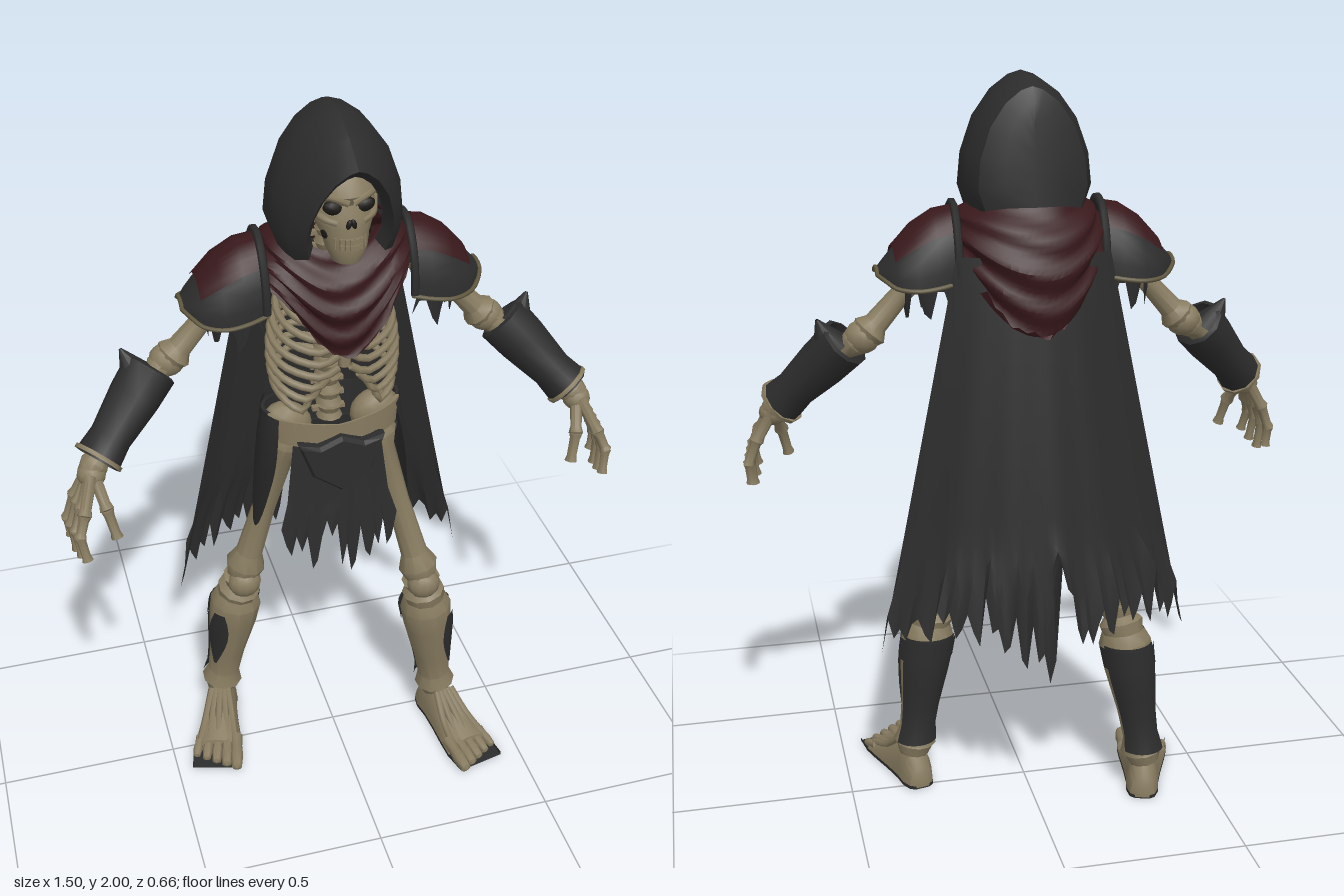
import * as THREE from 'three';
import { toCreasedNormals } from 'three/addons/utils/BufferGeometryUtils.js';

const paint = (name, color) => {
  const m = new THREE.MeshStandardMaterial({ color, side: THREE.DoubleSide });
  m.name = name;
  return m;
};
const V = (a) => new THREE.Vector3(...a);
const lerp = THREE.MathUtils.lerp;
const rand = (i) => { const s = Math.sin(i * 12.9898 + 4.1) * 43758.5453; return s - Math.floor(s); };
const range = (n, f) => Array.from({ length: n + 1 }, (_, i) => f(i / n, i));

export function createModel() {
  const bone = paint('bone', 0x877b60), cloth = paint('dark cloth', 0x2c2c2c);
  const red = paint('deep red cloth', 0x38181b), trim = paint('dull brass', 0x5f563d), hollow = paint('hollow black', 0x1c1a17);
  const model = new THREE.Group();
  model.name = 'hoodedSkeleton';

  const add = (name, geo, mat, parent = model) => {
    const mesh = new THREE.Mesh(geo, mat);
    mesh.name = name;
    parent.add(mesh);
    return mesh;
  };
  // Skin over a grid of rows of [x, y, z] points
  const surface = (name, mat, rows, parent) => {
    const n = rows[0].length, idx = [];
    for (let r = 0; r < rows.length - 1; r++) for (let c = 0; c < n - 1; c++) {
      const a = r * n + c, b = a + n;
      idx.push(a, a + 1, b, b, a + 1, b + 1);
    }
    const g = new THREE.BufferGeometry();
    g.setAttribute('position', new THREE.Float32BufferAttribute(rows.flat(2), 3));
    g.setIndex(idx);
    return add(name, toCreasedNormals(g, 0.6), mat, parent);
  };
  const ring = (y, cz, rx, rz, n = 20) => range(n, (t) => [rx * Math.sin(t * 2 * Math.PI), y, cz + rz * Math.cos(t * 2 * Math.PI)]);
  // Turned piece running from a to b, profile given as [position along, radius]
  const limb = (name, mat, a, b, profile, parent) => {
    const A = V(a), d = V(b).sub(A), L = d.length();
    const g = new THREE.LatheGeometry(profile.map(([t, r]) => new THREE.Vector2(r, t * L)), 10);
    const mesh = add(name, toCreasedNormals(g, 0.7), mat, parent);
    mesh.position.copy(A);
    mesh.quaternion.setFromUnitVectors(new THREE.Vector3(0, 1, 0), d.normalize());
    return mesh;
  };
  const tube = (name, mat, pts, r, parent, seg = 16) =>
    add(name, new THREE.TubeGeometry(new THREE.CatmullRomCurve3(pts.map(V)), seg, r, 6), mat, parent);
  const ball = (name, mat, p, s, parent) => {
    const m = add(name, new THREE.SphereGeometry(1, 12, 8), mat, parent);
    m.position.set(...p);
    m.scale.set(...s);
    return m;
  };
  const longBone = (r) => [[-0.05, 0], [-0.03, r * 1.2], [0.04, r * 1.5], [0.14, r], [0.5, r * 0.85], [0.86, r], [0.95, r * 1.5], [1.03, r * 1.2], [1.05, 0]];
  const fingerBone = (r) => [[-0.06, 0], [0, r * 1.15], [0.2, r * 0.9], [0.8, r * 0.85], [1, r * 1.1], [1.06, 0]];

  // Hood: arches from the pointed brow to the back of the head
  const archShape = [[0.88, 0], [1, 0.18], [0.95, 0.42], [0.76, 0.68], [0.48, 0.87], [0.2, 0.97], [0, 1]];
  const arch = [...archShape, ...archShape.slice(0, -1).reverse().map(([x, t]) => [-x, t])];
  const hoodArches = [ // half width, bottom y, top y, bottom z, top z
    [0.088, 1.68, 1.89, 0.1, 0.19], [0.108, 1.66, 1.915, 0.13, 0.22], [0.14, 1.65, 1.965, 0.1, 0.14], [0.167, 1.655, 1.998, 0.04, 0.04],
    [0.165, 1.66, 1.993, -0.05, -0.045], [0.14, 1.67, 1.97, -0.115, -0.1], [0.08, 1.68, 1.93, -0.145, -0.122], [0, 1.68, 1.88, -0.15, -0.13]];
  surface('hood', cloth, hoodArches.map(([w, yb, yt, zb, zt]) => arch.map(([x, t]) => [x * w, lerp(yb, yt, t), lerp(zb, zt, t)])));

  // Skull: y, half width, front z, back z
  const skull = [[1.645, 0, 0.14, 0.12], [1.65, 0.036, 0.16, 0.08], [1.685, 0.052, 0.172, 0.06], [1.72, 0.06, 0.167, 0.04], [1.745, 0.072, 0.167, 0.01],
    [1.77, 0.085, 0.162, -0.02], [1.8, 0.08, 0.152, -0.04], [1.825, 0.087, 0.167, -0.04], [1.87, 0.08, 0.147, -0.03], [1.905, 0.052, 0.11, 0], [1.92, 0, 0.06, 0.05]];
  surface('skull', bone, skull.map(([y, w, f, b]) => ring(y, (f + b) / 2, w, (f - b) / 2)));
  for (const s of [-1, 1]) {
    ball('eyeSocket', hollow, [s * 0.038, 1.794, 0.14], [0.027, 0.018, 0.015]).rotation.z = s * 0.25;
    tube('browRidge', bone, [[s * 0.006, 1.81, 0.16], [s * 0.04, 1.825, 0.153], [s * 0.072, 1.82, 0.115]], 0.009);
    tube('cheekBone', bone, [[s * 0.03, 1.758, 0.152], [s * 0.06, 1.766, 0.132], [s * 0.083, 1.78, 0.07]], 0.01);
    ball('noseHollow', hollow, [s * 0.006, 1.757, 0.163], [0.007, 0.013, 0.006]).rotation.z = s * 0.3;
    ball('jawHollow', hollow, [s * 0.053, 1.725, 0.117], [0.009, 0.018, 0.02]);
  }
  for (let i = -3; i <= 3; i++) for (const y of [1.714, 1.698])
    add('tooth', new THREE.BoxGeometry(0.0105, 0.014, 0.01), bone).position.set(i * 0.0115, y, 0.17 - i * i * 0.0022);

  // Spine, breastbone and ribs
  for (let i = 0; i < 15; i++) {
    const y = 1.1 + i * 0.04, z = -0.035 - 0.03 * Math.sin((i / 14) * Math.PI);
    limb('vertebra', bone, [0, y, z], [0, y + 0.036, z], [[0, 0], [0, 0.036], [0.5, 0.028], [1, 0.036], [1, 0]]);
    add('vertebraWing', new THREE.BoxGeometry(0.09, 0.012, 0.016), bone).position.set(0, y + 0.018, z - 0.012);
  }
  limb('breastbone', bone, [0, 1.33, 0.11], [0, 1.5, 0.09], [[0, 0], [0.05, 0.016], [0.7, 0.022], [1, 0.03], [1, 0]]);
  for (const s of [-1, 1]) for (let i = 0; i < 8; i++) {
    const y = 1.53 - i * 0.036, w = 0.12 + 0.045 * Math.sin((i + 1) / 8 * 2.2), low = Math.max(0, i - 4);
    tube('rib', bone, [[0, y, -0.075], [s * w * 0.6, y + 0.01, -0.1], [s * w, y - 0.025, -0.03], [s * w * 0.92, y - 0.055, 0.05],
      [s * (0.06 + low * 0.014), y - 0.075, 0.108 - low * 0.008], [s * (0.015 + low * 0.024), y - 0.05 + low * 0.006, 0.112 - low * 0.009]], 0.0105);
  }

  // Draped scarf with folds and a torn point at front and back
  surface('scarf', red, range(22, (v) => range(64, (t, i) => {
    const a = t * Math.PI * 2, c = Math.cos(a), k = i % 64, front = Math.max(c, 0);
    const drop = c > 0 ? 0.19 * c ** 4 : 0.21 * c * c;
    const torn = v > 0.97 ? (c < 0 ? 0.05 : 0.015) * rand(k) : 0;
    const grow = Math.sin(Math.min(1, v * 1.8) * Math.PI / 2), fold = 0.007 * Math.cos(v * 24 + Math.sin(a * 3));
    const rx = 0.125 + 0.075 * grow + fold, rz = 0.1 + (c > 0 ? 0.075 : 0.105) * grow + fold - (c > 0 ? 0.02 * v : 0);
    return [rx * Math.sin(a), lerp(1.7 - 0.05 * front * front, 1.56 - drop, v) + torn, -0.015 + rz * c];
  })));

  // Long torn cape: tatters only bend the lower part
  const tatter = [0, 0.03, 0.13, 0.06, 0.015, 0.09, 0.05, 0.15];
  const hem = range(56, (t, i) => {
    const u = t * 2 - 1, w = Math.abs(u);
    const slit = Math.abs(u + 0.11) < 0.04 ? 0.2 : 0;
    return 0.455 + 0.09 * Math.sin(w * Math.PI) + 0.05 * w + slit + (w < 0.02 || w > 0.98 ? 0 : tatter[i % 8] * (0.5 + 0.6 * rand(i)));
  });
  surface('cape', cloth, range(16, (v) => range(56, (t, i) => {
    const u = t * 2 - 1, bow = 1 - u * u;
    const y = lerp(1.56, 0.5, v) + (hem[i] - 0.5) * Math.max(0, (v - 0.7) / 0.3);
    return [u * lerp(0.2, 0.42, v), y, -0.125 - 0.02 * v - bow * (0.05 + 0.13 * v) + 0.004 * v * Math.sin(u * 17)];
  })));

  // Pelvis, belt and waist cloths
  const band = (name, mat, from, to, rx, y0, y1) => surface(name, mat, [[y0, 0.95], [y0, 1], [y1, 1], [y1, 0.95]].map(([y, k]) =>
    range(20, (t) => { const a = lerp(from, to, t); return [rx * k * Math.sin(a), y + 0.02 * Math.abs(Math.sin(a)), -0.025 + 0.1 * k * Math.cos(a)]; })));
  band('pelvisFront', bone, -1.3, 1.3, 0.185, 1.06, 1.13);
  band('beltBack', cloth, 1.25, 5.03, 0.19, 1.03, 1.14);
  band('beltStrap', bone, -1.3, 1.3, 0.192, 1.1, 1.135);
  add('beltPouch', new THREE.ExtrudeGeometry(new THREE.Shape([[-0.11, 1.09], [-0.06, 1.075], [0, 1.1], [0.06, 1.075], [0.11, 1.09], [0.075, 1], [0, 0.945], [-0.075, 1]]
    .map((p) => new THREE.Vector2(...p))), { depth: 0.02, bevelSize: 0.008, bevelThickness: 0.012, bevelSegments: 1 }), cloth).position.z = 0.07;
  const tabardHem = range(24, (t, i) => 0.64 + 0.08 * Math.abs(t * 2 - 1) + tatter[(i + 2) % 8] * (0.5 + 0.6 * rand(i)) + (i > 8 && i < 12 ? 0.12 : 0));
  surface('tabard', cloth, range(10, (v) => range(24, (t, i) => {
    const u = t * 2 - 1;
    const y = lerp(1.08, 0.7, v) + (tabardHem[i] - 0.7) * Math.max(0, (v - 0.5) / 0.5);
    return [u * lerp(0.12, 0.165, v), y, 0.07 + 0.025 * v - 0.03 * u * u + 0.004 * v * Math.cos(u * 12)];
  })));
  for (const s of [-1, 1]) {
    surface('hipCloth', cloth, range(8, (v) => range(10, (t) => {
      const u = t * 2 - 1;
      return [s * (0.19 + 0.03 * v - 0.03 * u * u), lerp(1.16, 0.78 + 0.18 * u * u, v), -0.025 + u * (0.075 + 0.03 * Math.sin(v * 2.6))];
    })));
    ball('hipBone', bone, [s * 0.12, 1.11, -0.02], [0.07, 0.055, 0.045]).rotation.z = s * 0.5;
  }

  // Shoulder plates, arms and hands
  const plate = [[0.185, 1.67, 0.095, 0.18], [0.24, 1.66, 0.108, 0.18], [0.295, 1.625, 0.11, 0.15], [0.345, 1.57, 0.09, 0.09], [0.37, 1.54, 0.065, 0.045], [0.388, 1.52, 0.03, 0.015]];
  const archRow = (s, [x, y, hz, drop], half, lift) => range(14, (t) => {
    const a = lerp(-half, half, t);
    return [s * (x + lift * 0.6), y + lift - drop * (1 - Math.cos(a)), -0.02 + (hz + lift) * Math.sin(a)];
  });
  for (const s of [-1, 1]) {
    const arm = new THREE.Group();
    arm.name = s > 0 ? 'leftArm' : 'rightArm';
    model.add(arm);
    const P = (x, y, z) => [s * x, y, z];
    surface('shoulderPlate', cloth, plate.map((p) => archRow(s, p, Math.PI / 2, 0)), arm);
    surface('shoulderPanel', red, plate.slice(0, 4).map((p) => archRow(s, p, 0.85, 0.006)), arm);
    tube('innerRim', cloth, archRow(s, plate[0], Math.PI / 2, 0.01), 0.011, arm, 24);
    tube('outerRim', trim, archRow(s, plate[5], Math.PI / 2, 0.002), 0.006, arm, 12);
    for (const e of [0, 14]) tube('lowerRim', trim, plate.map((p) => archRow(s, p, Math.PI / 2, 0.003)[e]), 0.006, arm);
    surface('tornSleeve', cloth, range(3, (v) => range(20, (t, i) => {
      const a = lerp(-2, 2, t), len = i % 4 > 1 ? 0.05 : 0.09 + 0.05 * rand(i);
      return P(0.25 + 0.09 * Math.cos(a) - 0.02 * v, 1.52 - len * v, -0.02 + 0.09 * Math.sin(a));
    })), arm);
    limb('upperArm', bone, P(0.24, 1.55, -0.03), P(0.42, 1.35, -0.03), longBone(0.032), arm);
    ball('elbow', bone, P(0.43, 1.345, -0.03), [0.048, 0.044, 0.044], arm);
    limb('forearm', bone, P(0.44, 1.34, -0.03), P(0.66, 1.13, 0.09), longBone(0.026), arm);
    limb('bracer', cloth, P(0.475, 1.33, -0.02), P(0.64, 1.15, 0.08), [[-0.02, 0.06], [0, 0.071], [0.3, 0.068], [0.75, 0.055], [1, 0.062], [1, 0.052]], arm);
    limb('bracerTip', cloth, P(0.51, 1.32, -0.01), P(0.545, 1.395, -0.03), [[0, 0.05], [1, 0.004]], arm);
    limb('bracerTrim', bone, P(0.633, 1.157, 0.075), P(0.64, 1.15, 0.08), [[0, 0.05], [0, 0.066], [1, 0.066], [1, 0.05]], arm);
    ball('wrist', bone, P(0.66, 1.12, 0.095), [0.038, 0.034, 0.04], arm);
    for (let i = 0; i < 4; i++) {
      const joints = [P(0.665, 1.125, 0.075 + i * 0.014), P(0.708 - i * 0.004, 1.05, 0.075 + i * 0.034),
        P(0.732 - i * 0.006, 0.985 + i * 0.006, 0.078 + i * 0.04), P(0.727 - i * 0.008, 0.91 + Math.abs(i - 1.2) * 0.017, 0.08 + i * 0.045)];
      for (let j = 0; j < 3; j++) limb('fingerBone', bone, joints[j], joints[j + 1], fingerBone(0.0175 - j * 0.002), arm);
    }
    limb('thumbBase', bone, P(0.655, 1.12, 0.11), P(0.637, 1.05, 0.165), fingerBone(0.018), arm);
    limb('thumbTip', bone, P(0.637, 1.05, 0.165), P(0.62, 0.975, 0.185), fingerBone(0.015), arm);
  }

  // Legs in a staggered stance
  const footCuts = [[-0.065, 0.02, 0.03], [-0.055, 0.035, 0.06], [-0.025, 0.045, 0.11], [0.02, 0.046, 0.125], [0.08, 0.054, 0.09], [0.15, 0.066, 0.06], [0.2, 0.073, 0.04], [0.205, 0.06, 0.01]];
  for (const [s, hipZ, kneeZ, shinZ, ankleZ, turn] of [[1, -0.01, 0.06, 0.06, 0.04, 0.22], [-1, -0.03, -0.085, -0.11, -0.15, -0.28]]) {
    const leg = new THREE.Group();
    leg.name = s > 0 ? 'leftLeg' : 'rightLeg';
    model.add(leg);
    const P = (x, y, z) => [s * x, y, z];
    const top = P(0.262, 0.47, shinZ), ankle = P(0.315, 0.1, ankleZ);
    limb('thighBone', bone, P(0.12, 1.06, hipZ), P(0.243, 0.58, kneeZ), longBone(0.038), leg);
    ball('kneeCap', bone, P(0.247, 0.55, kneeZ + 0.025), [0.048, 0.045, 0.04], leg);
    limb('kneeJoint', bone, P(0.245, 0.56, kneeZ), top, [[0, 0.03], [0.1, 0.056], [0.4, 0.044], [0.6, 0.062], [1, 0.055]], leg);
    limb('shinBone', bone, top, ankle, longBone(0.035), leg);
    const guard = [[-0.04, 0.06], [0.05, 0.074], [0.25, 0.07], [0.6, 0.052], [0.82, 0.047], [0.93, 0.06]];
    limb('shinGuard', bone, top, ankle, guard, leg);
    // Dark panel following the shin guard, centred on one side
    const facing = (name, side, half, t0, t1, tapered) => {
      const d = V(ankle).sub(V(top));
      surface(name, cloth, range(6, (v) => range(8, (t) => {
        const k = lerp(t0, t1, v), taper = tapered ? Math.sin(Math.PI * (0.15 + 0.8 * v)) : 1;
        const a = side + lerp(-half, half, t) * taper;
        const j = Math.max(0, guard.findIndex(([g]) => g >= k) - 1);
        const r = lerp(guard[j][1], guard[j + 1][1], (k - guard[j][0]) / (guard[j + 1][0] - guard[j][0])) + 0.006;
        return [top[0] + d.x * k + r * Math.sin(a), top[1] + d.y * k, top[2] + d.z * k + r * Math.cos(a)];
      })), leg);
    };
    facing('calfGuard', Math.PI, 1.1, 0.03, 0.9, false);
    facing('calfStrap', Math.PI, 1.35, 0.05, 0.22, false);
    facing('sidePanel', s * 0.85, 0.5, 0.08, 0.66, true);

    const foot = new THREE.Group();
    foot.name = 'foot';
    foot.position.set(ankle[0], 0, ankle[2]);
    foot.rotation.y = turn;
    leg.add(foot);
    const cut = ([z, w, h]) => [...range(10, (t) => [w * Math.cos(t * Math.PI), 0.006 + h * Math.sin(t * Math.PI), z]), [w, 0.006, z]];
    surface('footBody', bone, [cut([-0.066, 0, 0]), ...footCuts.map(cut), cut([0.206, 0, 0])], foot);
    surface('sole', cloth, [...footCuts.slice(0, 7), [0.27, 0.07]].map(([z, w]) => [[-w, 0.012, z], [-w, 0.002, z], [w, 0.002, z], [w, 0.012, z]]), foot);
    for (let i = 0; i < 5; i++) {
      const x = s * (i - 2), r = 0.019 - i * 0.0015;
      limb('toe', bone, [x * 0.027, 0.032, 0.17], [x * 0.031, r, 0.288 - i * 0.013], [[-0.05, 0], [0, r], [0.4, r * 0.9], [0.6, r * 1.05], [0.95, r * 0.8], [1.02, 0]], foot);
      tube('footRidge', bone, [[x * 0.012, 0.115, 0.05], [x * 0.02, 0.075 - Math.abs(x) * 0.008, 0.12], [x * 0.026, 0.035, 0.19]], 0.011, foot, 6);
    }
  }
  return model;
}
